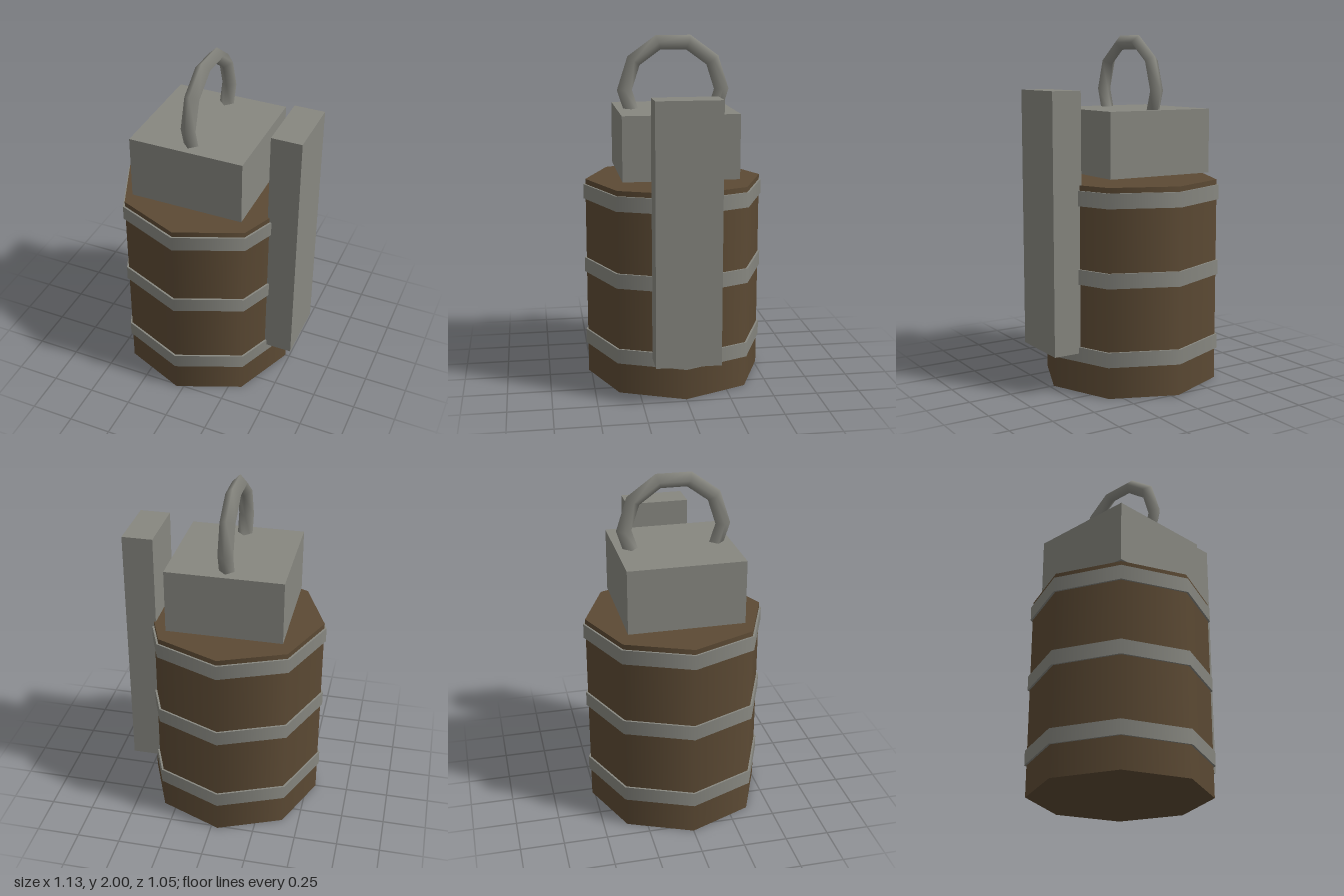
import * as THREE from 'three';

export function createModel() {
  const model = new THREE.Group();
  const wood = new THREE.MeshStandardMaterial({ color: 0x5c4a34 });
  const metal = new THREE.MeshStandardMaterial({ color: 0x878780 });
  const axisX = -0.04;

  function add(name, geometry, material, x, y) {
    const mesh = new THREE.Mesh(geometry, material);
    mesh.name = name;
    mesh.position.set(x, y, 0);
    model.add(mesh);
    return mesh;
  }

  // Eight-sided wooden body standing on the ground
  add('barrel', new THREE.CylinderGeometry(0.515, 0.515, 1.18, 8), wood, axisX, 0.59);

  // Three metal hoops around the body
  [0.223, 0.667, 1.108].forEach((y, i) => {
    add(`hoop${i + 1}`, new THREE.CylinderGeometry(0.527, 0.527, 0.085, 8), metal, axisX, y);
  });

  // Block above the body
  add('topBlock', new THREE.BoxGeometry(0.66, 0.366, 0.66), metal, axisX, 1.402);

  // Ring handle, its lower part sunk in the block
  const handle = add('handle', new THREE.TorusGeometry(0.282, 0.043, 4, 10), metal, axisX, 1.691);
  handle.rotation.y = Math.PI / 2;

  // Upright lever on the left side
  add('lever', new THREE.BoxGeometry(0.175, 1.467, 0.366), metal, 0.476, 0.962);

  return model;
}
